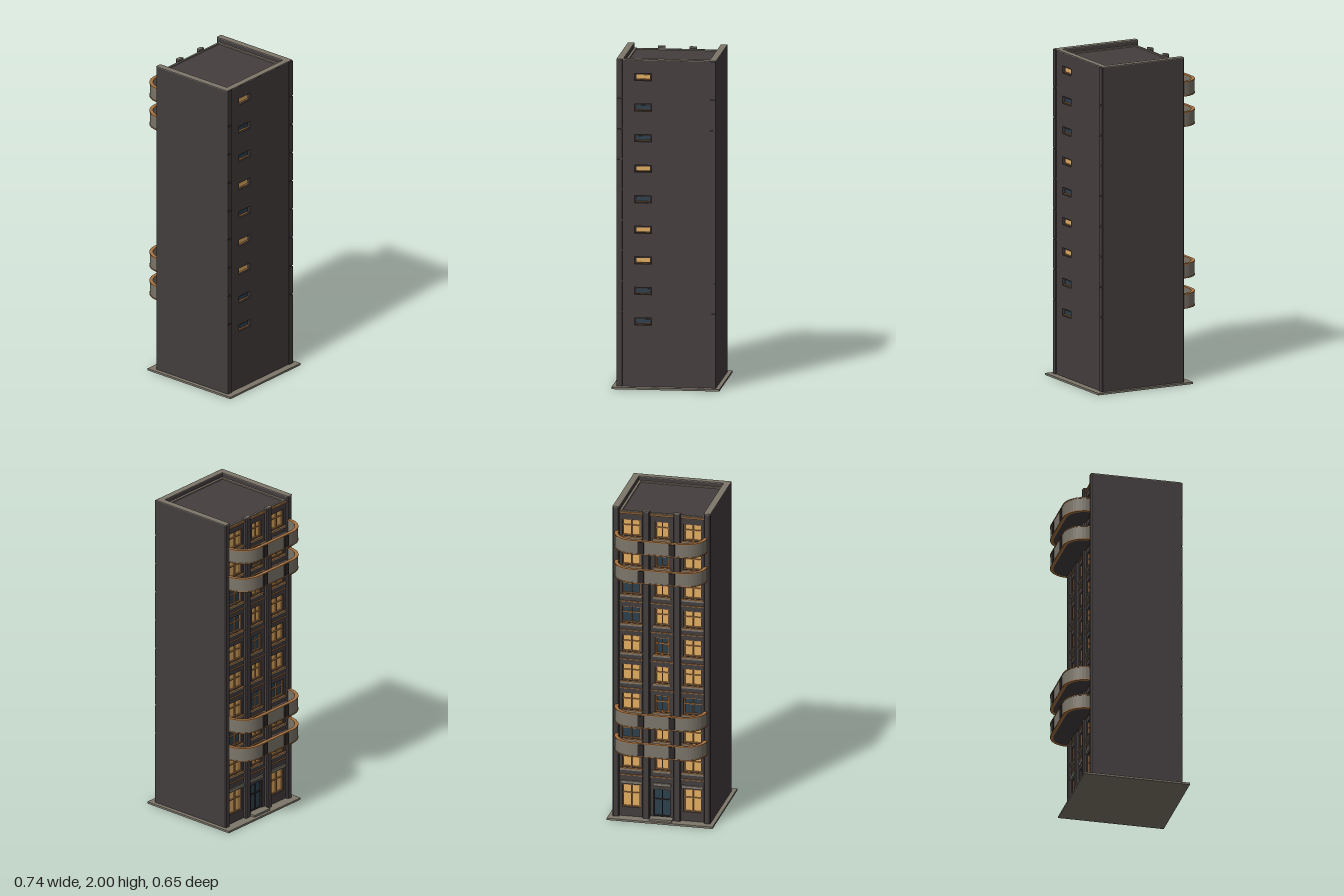
import * as THREE from 'three';

const paint = (name, color) => {
  const m = new THREE.MeshStandardMaterial({ color });
  m.name = name;
  return m;
};

export function createModel() {
  const tower = new THREE.Group();
  tower.name = 'apartmentTower';
  const wall = paint('dark brick', 0x443d3e);
  const stone = paint('stone', 0x7c766a);
  const copper = paint('copper', 0xa87443);
  const frame = paint('dark frame', 0x2e2727);
  const glass = paint('dark glass', 0x2d404d);
  const lit = paint('lit glass', 0xe2ae62);

  const add = (name, geo, mat, parent = tower) => {
    const m = new THREE.Mesh(geo, mat);
    m.name = name;
    parent.add(m);
    return m;
  };
  // Box given by its limits along x, y and z
  const box = (name, mat, x0, x1, y0, y1, z0, z1, parent) => {
    const g = new THREE.BoxGeometry(x1 - x0, y1 - y0, z1 - z0);
    g.translate((x0 + x1) / 2, (y0 + y1) / 2, (z0 + z1) / 2);
    return add(name, g, mat, parent);
  };
  const rect = (Type, u0, u1, v0, v1) => new Type([
    new THREE.Vector2(u0, v0), new THREE.Vector2(u1, v0),
    new THREE.Vector2(u1, v1), new THREE.Vector2(u0, v1)]);
  const extrude = (shape, depth) =>
    new THREE.ExtrudeGeometry(shape, { depth, bevelEnabled: false, curveSegments: 5 });

  const FLOOR = 0.1857, FIRST = 0.28, FLOORS = 9;
  const level = k => FIRST + k * FLOOR;

  // Ground slab and entrance step
  box('groundSlab', stone, -0.28, 0.37, 0, 0.012, -0.325, 0.325);
  box('entranceStep', stone, -0.262, -0.2, 0.012, 0.024, -0.07, 0.07);

  // Core and roof
  box('core', wall, -0.195, 0.305, 0.012, 1.965, -0.262, 0.262);
  const rim = rect(THREE.Shape, -0.215, 0.287, -0.26, 0.26);
  rim.holes.push(rect(THREE.Path, -0.203, 0.273, -0.246, 0.246));
  add('roofEdge', extrude(rim, 0.007).rotateX(-Math.PI / 2).translate(0, 1.965, 0), stone);

  // Side walls with parapet caps
  for (const s of [-1, 1]) {
    const [z0, z1] = s > 0 ? [0.26, 0.3] : [-0.3, -0.26];
    box('sideWall', wall, -0.229, 0.325, 0.012, 1.995, z0, z1);
    box('parapetCap', stone, -0.232, 0.325, 1.995, 2, z0, z1);
  }
  box('rearParapet', wall, 0.287, 0.3245, 1.96, 1.995, -0.26, 0.26);
  box('rearParapetCap', stone, 0.287, 0.325, 1.995, 2, -0.26, 0.26);

  // Plain wall on +x with a recessed slit window on each floor
  const plain = rect(THREE.Shape, -0.26, 0.26, 0.012, 1.994);
  const litSlits = [2, 3, 5, 8];
  for (let k = 0; k < FLOORS; k++) {
    const y = level(k) + 0.127, z = 0.14;
    plain.holes.push(rect(THREE.Path, -z - 0.052, -z + 0.052, y - 0.022, y + 0.022));
    const slit = new THREE.Group();
    slit.name = 'slitWindow';
    tower.add(slit);
    box('slitFrame', frame, 0.305, 0.309, y - 0.022, y + 0.022, z - 0.052, z + 0.052, slit);
    box('slitPane', litSlits.includes(k) ? lit : glass, 0.309, 0.312, y - 0.012, y + 0.012, z - 0.041, z + 0.041, slit);
    box('slitSill', copper, 0.309, 0.32, y - 0.018, y - 0.014, z - 0.046, z + 0.046, slit);
  }
  add('plainWall', extrude(plain, 0.02).rotateY(Math.PI / 2).translate(0.305, 0, 0), wall);

  // Corner strips on +x, split at every floor
  for (const s of [-1, 1]) {
    for (let k = 0; k < FLOORS; k++) {
      const y0 = k === 0 ? 0.012 : level(k) + 0.004;
      const y1 = k === FLOORS - 1 ? 1.996 : level(k + 1) - 0.004;
      const z = s * 0.282;
      box('cornerStrip', wall, 0.325, 0.331, y0, y1, z - 0.017, z + 0.017);
    }
  }

  // Window wall on -x: three bays, each window recessed with crossed bars
  const facade = rect(THREE.Shape, -0.26, 0.26, 0.012, 1.965);
  const bays = [{ z: -0.188, w: 0.055 }, { z: 0, w: 0.042 }, { z: 0.188, w: 0.055 }];
  const opening = (name, z, w, y0, y1, pane, bars) => {
    facade.holes.push(rect(THREE.Path, z - w, z + w, y0, y1));
    const g = new THREE.Group();
    g.name = name;
    tower.add(g);
    box('pane', pane, -0.199, -0.195, y0, y1, z - w, z + w, g);
    const t = 0.006;
    for (const e of [-1, 0, 1]) {
      const zc = z + e * (w - t / 2);
      box('uprightBar', bars, -0.208, -0.199, y0, y1, zc - t / 2, zc + t / 2, g);
    }
    for (const y of [y0, y0 + (y1 - y0) * 0.6, y1 - t])
      box('crossBar', bars, -0.207, -0.199, y, y + t, z - w, z + w, g);
  };
  const darkPattern = [3, 7, 8, 13, 15, 18, 22];
  bays.forEach(({ z, w }, b) => {
    if (b === 1) opening('entranceDoor', z, 0.052, 0.024, 0.2, glass, frame);
    else opening('groundWindow', z, w, 0.07, 0.215, lit, copper);
    box('lintel', stone, -0.224, -0.215, 0.222, 0.24, z - w - 0.012, z + w + 0.012);
    for (let k = 0; k < FLOORS; k++) {
      const y = level(k);
      const dark = darkPattern.includes(k * 3 + b);
      opening('window', z, w, y + 0.045, y + 0.15, dark ? glass : lit, copper);
      box('sill', stone, -0.223, -0.215, y + 0.027, y + 0.038, z - w - 0.012, z + w + 0.012);
      box('sillLip', copper, -0.226, -0.215, y + 0.038, y + 0.043, z - w - 0.014, z + w + 0.014);
    }
  });
  add('windowWall', extrude(facade, 0.02).rotateY(-Math.PI / 2).translate(-0.195, 0, 0), wall);
  for (let k = 0; k < FLOORS; k++)
    box('floorBand', copper, -0.222, -0.215, level(k) - 0.005, level(k), -0.26, 0.26);
  box('topBand', copper, -0.225, -0.215, 1.955, 1.965, -0.26, 0.26);

  // Chamfered pilasters between the bays and at the corners
  const pilaster = (z, h, top) => {
    const p = new THREE.Shape([
      [-0.212, -h], [-0.212, h], [-0.229, h], [-0.235, h - 0.006], [-0.235, -h + 0.006], [-0.229, -h],
    ].map(([x, y]) => new THREE.Vector2(x, y)));
    add('pilaster', extrude(p, top - 0.018).rotateX(-Math.PI / 2).translate(0, 0.012, z), wall);
    add('pilasterCap', extrude(p, 0.006).rotateX(-Math.PI / 2).translate(0, top - 0.006, z), stone);
  };
  for (const s of [-1, 1]) {
    pilaster(s * 0.095, 0.0225, 1.985);
    pilaster(s * 0.28, 0.02, 1.999);
  }

  // Rounded balconies: dark floor, stone parapet, copper rims
  const trace = (path, inset, reverse) => {
    const x = -0.37 + inset, z = 0.283 - inset, r = 0.13 - inset, back = -0.216;
    if (reverse) {
      path.lineTo(back, -z);
      path.absarc(x + r, -z + r, r, -Math.PI / 2, -Math.PI, true);
      path.absarc(x + r, z - r, r, Math.PI, Math.PI / 2, true);
      path.lineTo(back, z);
    } else {
      path.moveTo(back, z);
      path.absarc(x + r, z - r, r, Math.PI / 2, Math.PI, false);
      path.absarc(x + r, -z + r, r, Math.PI, Math.PI * 1.5, false);
      path.lineTo(back, -z);
    }
  };
  const band = (outer, inner) => {
    const s = new THREE.Shape();
    trace(s, outer, false);
    trace(s, inner, true);
    s.closePath();
    return s;
  };
  const deck = new THREE.Shape();
  trace(deck, 0.004, false);
  deck.closePath();
  for (const k of [1, 2, 7, 8]) {
    const g = new THREE.Group();
    g.name = 'balcony';
    g.position.y = level(k) - 0.01;
    tower.add(g);
    const layer = (name, shape, y, h, mat) =>
      add(name, extrude(shape, h).rotateX(-Math.PI / 2).translate(0, y, 0), mat, g);
    layer('balconyFloor', deck, 0.001, 0.011, wall);
    layer('lowerRim', band(0, 0.02), 0, 0.006, copper);
    layer('parapet', band(0.003, 0.019), 0.006, 0.078, stone);
    layer('handrail', band(0, 0.022), 0.084, 0.006, copper);
    for (const z of [-0.095, 0.095])
      box('parapetRib', frame, -0.373, -0.366, 0.008, 0.082, z - 0.019, z + 0.019, g);
  }

  return tower;
}
